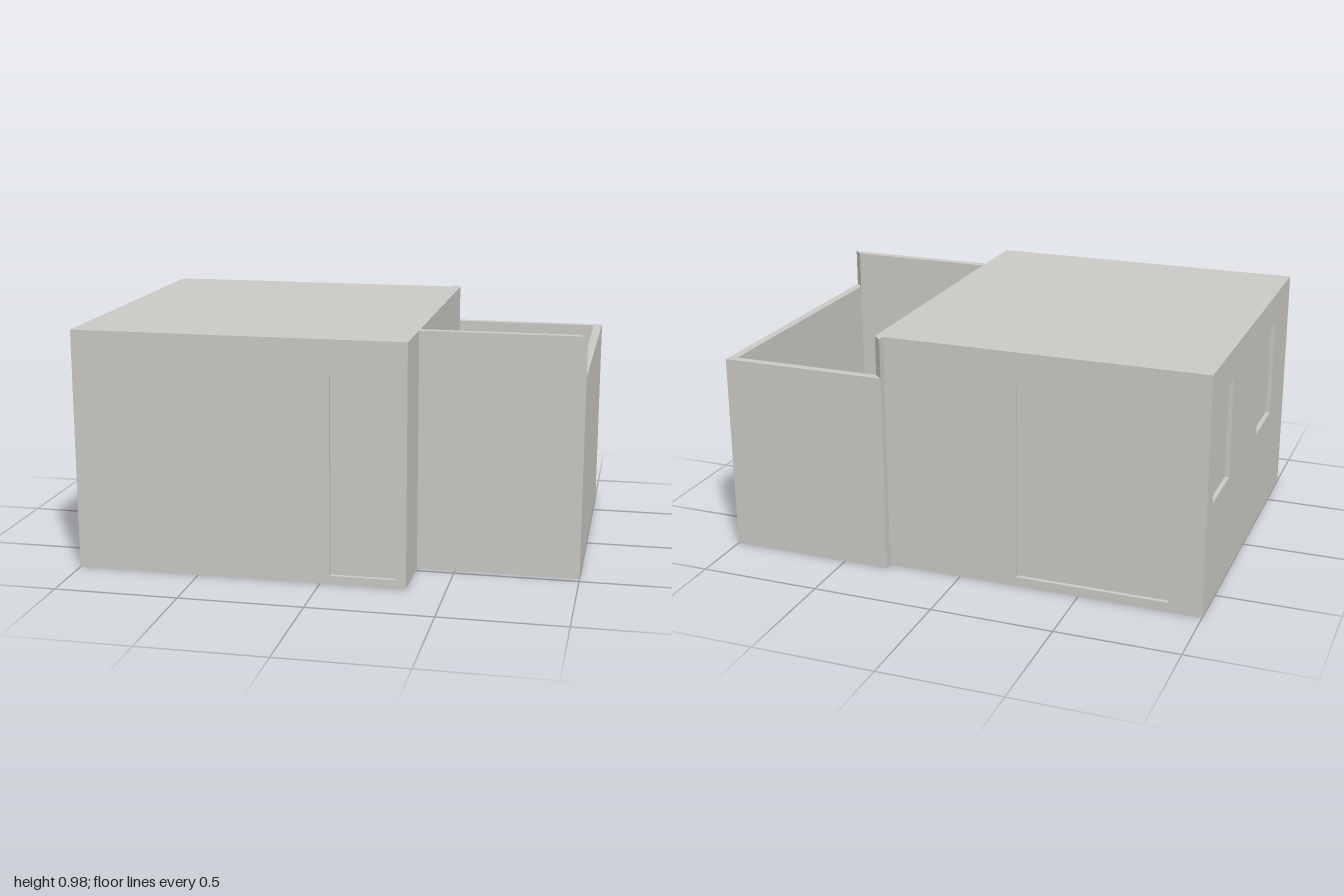
import * as THREE from 'three';
import { toCreasedNormals } from 'three/addons/utils/BufferGeometryUtils.js';

const T = 0.035; // wall thickness
const plaster = new THREE.MeshStandardMaterial({ color: 0xcccac6 });
plaster.name = 'pale grey plaster';

function add(parent, name, geometry) {
  const mesh = new THREE.Mesh(geometry, plaster);
  mesh.name = name;
  parent.add(mesh);
  return mesh;
}

// Box given by its limits on each axis
function box(parent, name, x0, x1, y0, y1, z0, z1) {
  const g = new THREE.BoxGeometry(x1 - x0, y1 - y0, z1 - z0);
  g.translate((x0 + x1) / 2, (y0 + y1) / 2, (z0 + z1) / 2);
  return add(parent, name, g);
}

function rectPath(PathType, x0, x1, y0, y1) {
  return new PathType([[x0, y0], [x1, y0], [x1, y1], [x0, y1]].map(p => new THREE.Vector2(...p)));
}

// Mitred wall whose outer face lies on local z = 0, with panels set back in its openings
function wall(parent, name, length, height, x, z, turn, openings = []) {
  const group = new THREE.Group();
  group.name = name;
  const shape = rectPath(THREE.Shape, -length / 2, length / 2, 0, height);
  for (const o of openings) shape.holes.push(rectPath(THREE.Path, o.x0, o.x1, o.y0, o.y1));
  const g = new THREE.ExtrudeGeometry(shape, { depth: T, bevelEnabled: false });
  g.translate(0, 0, -T);
  const p = g.attributes.position;
  for (let i = 0; i < p.count; i++) {
    const px = p.getX(i);
    if (p.getZ(i) < -T / 2 && Math.abs(px) > length / 2 - 1e-4) p.setX(i, px - Math.sign(px) * T);
  }
  g.computeVertexNormals();
  add(group, name + 'Panel', g);
  for (const o of openings) box(group, o.name, o.x0, o.x1, o.y0, o.y1, -0.03, -0.018);
  group.position.set(x, 0, z);
  group.rotation.y = turn;
  parent.add(group);
}

// Skin through rounded rectangles, each [y, half width, half depth, corner radius, x shift]
function loft(parent, name, cx, cz, rings) {
  const pos = [], index = [], steps = 6, n = 4 * (steps + 1);
  for (const [y, hx, hz, r, dx = 0] of rings) {
    for (let c = 0; c < 4; c++) {
      const sx = c === 0 || c === 3 ? 1 : -1, sz = c < 2 ? 1 : -1;
      for (let s = 0; s <= steps; s++) {
        const a = (c + s / steps) * Math.PI / 2;
        pos.push(cx + dx + sx * (hx - r) + r * Math.cos(a), y, cz + sz * (hz - r) + r * Math.sin(a));
      }
    }
  }
  for (let k = 0; k < rings.length - 1; k++) {
    for (let j = 0; j < n; j++) {
      const a = k * n + j, b = k * n + (j + 1) % n;
      index.push(a, a + n, b, b, a + n, b + n);
    }
  }
  const last = rings[rings.length - 1], base = (rings.length - 1) * n;
  pos.push(cx + (last[4] || 0), last[0], cz);
  for (let j = 0; j < n; j++) index.push(rings.length * n, base + (j + 1) % n, base + j);
  const g = new THREE.BufferGeometry();
  g.setAttribute('position', new THREE.Float32BufferAttribute(pos, 3));
  g.setIndex(index);
  return add(parent, name, toCreasedNormals(g, 0.6));
}

// Bent spout through a few points
function spout(parent, name, points, radius) {
  const curve = new THREE.CatmullRomCurve3(points.map(p => new THREE.Vector3(...p)));
  return add(parent, name, new THREE.TubeGeometry(curve, 12, radius, 8));
}

function mainRoom(parent) {
  const room = new THREE.Group();
  room.name = 'mainRoom';
  const cx = -0.3275, cz = 0.015, w = 1.345, d = 1.43, h = 0.978;
  wall(room, 'frontWall', w, h, cx, 0.73, 0, [{ name: 'frontDoor', x0: 0.368, x1: 0.632, y0: 0.035, y1: 0.84 }]);
  wall(room, 'backWall', w, h, cx, -0.7, Math.PI, [{ name: 'wideBackDoor', x0: -0.088, x1: 0.538, y0: 0.04, y1: 0.85 }]);
  wall(room, 'partitionWall', d, h, 0.345, cz, Math.PI / 2, [{ name: 'bathroomDoor', x0: -0.4, x1: -0.135, y0: 0.035, y1: 0.875 }]);
  wall(room, 'windowWall', d, h, -1, cz, -Math.PI / 2, [
    { name: 'rearWindow', x0: -0.622, x1: -0.355, y0: 0.44, y1: 0.85 },
    { name: 'frontWindow', x0: 0.145, x1: 0.425, y0: 0.44, y1: 0.85 },
  ]);
  box(room, 'roof', -1, 0.345, h, 0.98, -0.7, 0.73);
  box(room, 'floor', -0.999, 0.344, 0, T, -0.699, 0.729);
  parent.add(room);
}

function bathroomShell(parent) {
  wall(parent, 'bathroomFrontWall', 0.69, 0.979, 0.655, 0.47, 0);
  wall(parent, 'bathroomBackWall', 0.69, 0.82, 0.655, -0.735, Math.PI);
  wall(parent, 'bathroomSideWall', 1.205, 0.82, 1, -0.1325, Math.PI / 2);
  box(parent, 'bathroomFloor', 0.34, 0.966, 0, T, -0.701, 0.436);
  // Mitred end of the partition, reaching past the back of the main room
  const tip = new THREE.Shape([[0.31, 0.7], [0.345, 0.7], [0.31, 0.735]].map(p => new THREE.Vector2(...p)));
  const g = new THREE.ExtrudeGeometry(tip, { depth: 0.98, bevelEnabled: false });
  g.rotateX(-Math.PI / 2);
  add(parent, 'partitionEnd', g);
}

function bathtub(parent) {
  loft(parent, 'bathtub', 0.667, -0.552, [
    [T, 0.298, 0.148, 0.03], [0.235, 0.298, 0.148, 0.03], [0.24, 0.293, 0.143, 0.03],
    [0.24, 0.285, 0.13, 0.045], [0.23, 0.277, 0.122, 0.045],
    [0.11, 0.258, 0.108, 0.05], [0.08, 0.235, 0.09, 0.05],
  ]);
  box(parent, 'bathTapPlate', 0.385, 0.395, 0.18, 0.245, -0.59, -0.515);
  spout(parent, 'bathSpout', [[0.385, 0.23, -0.552], [0.41, 0.245, -0.552], [0.435, 0.215, -0.552]], 0.008);
  for (const side of [-1, 1]) {
    const knob = new THREE.CylinderGeometry(0.01, 0.01, 0.02, 12);
    knob.rotateZ(Math.PI / 2);
    knob.translate(0.402, 0.225, -0.552 + side * 0.027);
    add(parent, 'bathTapKnob', knob);
  }
}

function toilet(parent) {
  loft(parent, 'toiletBowl', 0.79, -0.28, [
    [T, 0.06, 0.042, 0.03, 0.025], [0.08, 0.055, 0.038, 0.03, 0.025],
    [0.15, 0.07, 0.06, 0.045], [0.18, 0.072, 0.062, 0.045],
  ]);
  loft(parent, 'toiletLid', 0.79, -0.28, [
    [0.18, 0.075, 0.065, 0.045], [0.196, 0.075, 0.065, 0.045], [0.2, 0.071, 0.061, 0.042],
  ]);
  box(parent, 'toiletNeck', 0.85, 0.9, T, 0.18, -0.318, -0.244);
  box(parent, 'toiletTank', 0.89, 0.962, 0.15, 0.31, -0.358, -0.204);
  box(parent, 'tankLid', 0.886, 0.965, 0.31, 0.325, -0.362, -0.2);
}

function vanity(parent) {
  box(parent, 'vanityCabinet', 0.764, 0.965, T, 0.27, -0.135, 0.435);
  // Worktop with the sink opening
  const top = rectPath(THREE.Shape, 0.76, 0.965, -0.435, 0.135);
  top.holes.push(rectPath(THREE.Path, 0.782, 0.872, -0.228, -0.102));
  const g = new THREE.ExtrudeGeometry(top, { depth: 0.06, bevelEnabled: false });
  g.rotateX(-Math.PI / 2);
  g.translate(0, 0.27, 0);
  add(parent, 'worktop', g);
  // Raised sink rim
  const rim = rectPath(THREE.Shape, 0.772, 0.905, -0.237, -0.093);
  rim.holes.push(rectPath(THREE.Path, 0.782, 0.872, -0.228, -0.102));
  const r = new THREE.ExtrudeGeometry(rim, { depth: 0.006, bevelEnabled: false });
  r.rotateX(-Math.PI / 2);
  r.translate(0, 0.33, 0);
  add(parent, 'sinkRim', r);
  spout(parent, 'sinkTap', [[0.89, 0.33, 0.165], [0.885, 0.375, 0.165], [0.86, 0.38, 0.165], [0.85, 0.36, 0.165]], 0.005);
  // Cabinet fronts with a knob each: [z start, z end, knob z]
  const fronts = [[-0.13, -0.013, -0.045], [-0.007, 0.085, 0.027], [0.091, 0.208, 0.15], [0.214, 0.305, 0.272], [0.311, 0.43, 0.342]];
  for (const [z0, z1, kz] of fronts) {
    box(parent, 'cabinetFront', 0.76, 0.765, 0.06, 0.262, z0, z1);
    const knob = new THREE.SphereGeometry(0.007, 10, 8);
    knob.translate(0.75, 0.21, kz);
    add(parent, 'cabinetKnob', knob);
  }
}

export function createModel() {
  const model = new THREE.Group();
  model.name = 'house';
  mainRoom(model);
  const bathroom = new THREE.Group();
  bathroom.name = 'bathroom';
  bathroomShell(bathroom);
  bathtub(bathroom);
  toilet(bathroom);
  vanity(bathroom);
  model.add(bathroom);
  return model;
}
